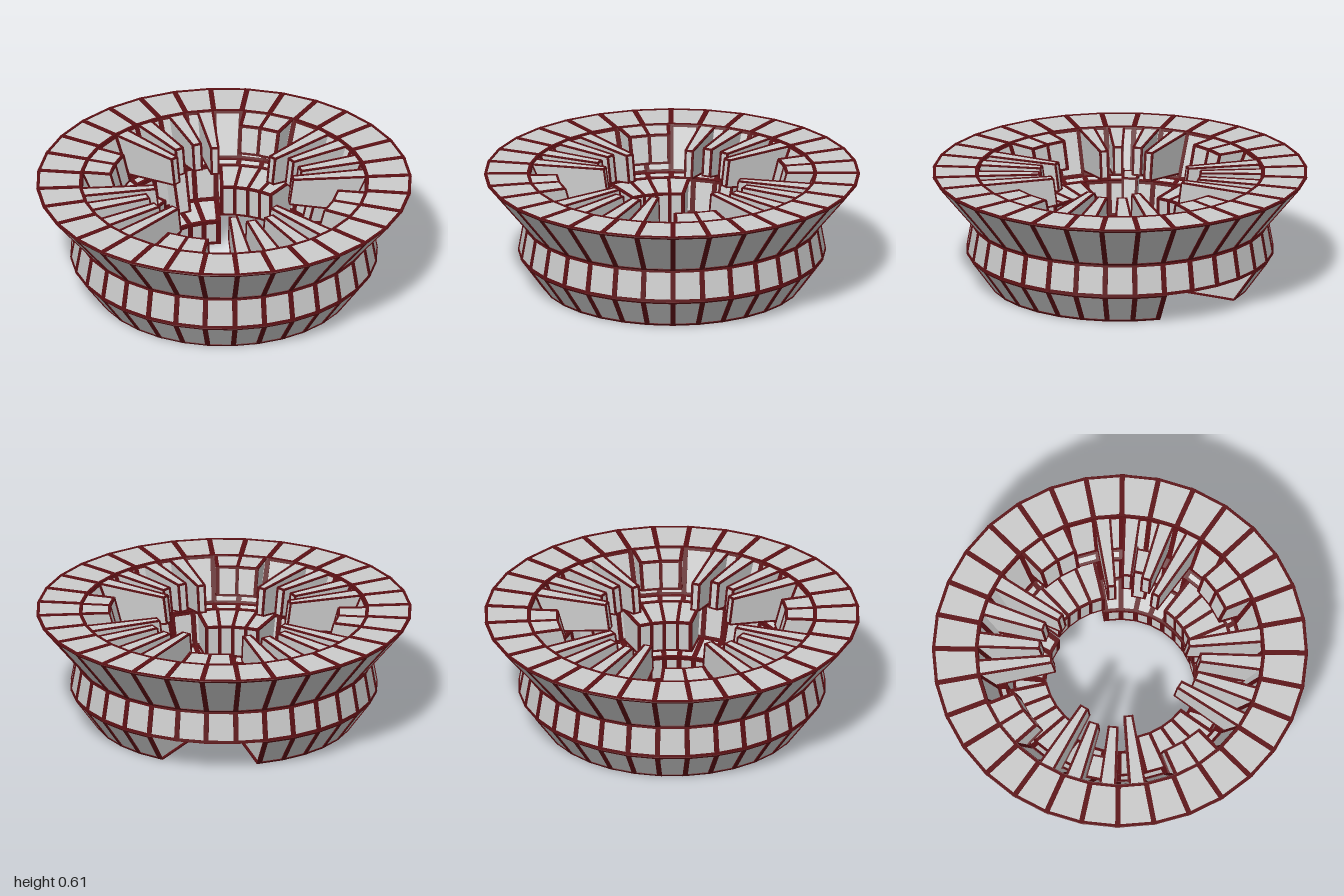
import * as THREE from 'three';
import { mergeGeometries } from 'three/addons/utils/BufferGeometryUtils.js';

const SEG = Math.PI / 16; // one of 32 facets
const RAD = Math.PI / 180;
const grey = new THREE.MeshStandardMaterial({ color: 0xcccccc, flatShading: true, side: THREE.DoubleSide });
const red = new THREE.MeshStandardMaterial({ color: 0x5c1014, flatShading: true });

// point at radius r, height y and angle a (from +z towards +x)
const polar = ([r, y], a) => new THREE.Vector3(r * Math.sin(a), y, r * Math.cos(a));

// thin band from p to q, lying across the given side direction
function band(p, q, side, width) {
  const along = q.clone().sub(p);
  const length = along.length();
  along.normalize();
  const normal = along.clone().cross(side).normalize();
  const across = normal.clone().cross(along);
  const m = new THREE.Matrix4().makeBasis(along, across, normal);
  m.setPosition(p.clone().add(q).multiplyScalar(0.5));
  return new THREE.BoxGeometry(length, width, 0.008).applyMatrix4(m);
}

// faceted sector of a closed profile, with end caps and red edge bands
function sector(name, profile, start, count, step = SEG, width = 0.027) {
  const group = new THREE.Group();
  group.name = name;
  const pts = profile.map(([r, y]) => new THREE.Vector2(r, y));
  const parts = [new THREE.LatheGeometry([...pts, pts[0].clone()], count, start, count * step)];
  const whole = count * step > 2 * Math.PI - 0.01;
  if (!whole) {
    for (const a of [start, start + count * step]) {
      parts.push(new THREE.ShapeGeometry(new THREE.Shape(pts)).rotateY(a - Math.PI / 2));
    }
  }
  const body = new THREE.Mesh(mergeGeometries(parts), grey);
  body.name = name + 'Body';

  const bands = [];
  const n = profile.length;
  for (let k = 0; k <= count; k++) {
    if (whole && k === count) break;
    const a = start + k * step;
    const tangent = new THREE.Vector3(Math.cos(a), 0, -Math.sin(a));
    for (let i = 0; i < n; i++) {
      const p = profile[i], q = profile[(i + 1) % n];
      // bands running up the profile
      bands.push(band(polar(p, a), polar(q, a), tangent, width));
      // bands running round the ring, split over both faces of the edge
      if (k === count) continue;
      const mid = a + step / 2;
      const before = profile[(i + n - 1) % n];
      for (const other of [before, q]) {
        const dir = polar(other, mid).sub(polar(p, mid)).normalize();
        const shift = dir.clone().multiplyScalar(width / 4);
        bands.push(band(polar(p, a).add(shift), polar(p, a + step).add(shift), dir, width / 2));
      }
    }
  }
  const trim = new THREE.Mesh(mergeGeometries(bands), red);
  trim.name = name + 'Trim';
  group.add(body, trim);
  return group;
}

export function createModel() {
  const model = new THREE.Group();
  model.name = 'tieredRing';

  // flared upper ring with waist band and sloping inner wall
  model.add(sector('upperRing', [
    [0.57, 0.18], [0.815, 0.18], [0.785, 0.35], [0.997, 0.611],
    [0.76, 0.611], [0.66, 0.38], [0.61, 0.36],
  ], 0, 32));

  // tapered base ring, open at the back
  model.add(sector('baseRing', [
    [0.4, 0.005], [0.69, 0.005], [0.815, 0.18], [0.57, 0.18], [0.4, 0.14],
  ], Math.PI + 2 * SEG, 28));

  for (let i = 0; i < 4; i++) {
    const a = i * Math.PI / 2;

    // low platform and high box on each axis
    model.add(sector('platform', [
      [0.4, 0.18], [0.62, 0.18], [0.62, 0.36], [0.4, 0.35],
    ], a - 20 * RAD, 4, 10 * RAD, 0.018));
    model.add(sector('highBox', [
      [0.57, 0.46], [0.7, 0.42], [0.77, 0.608], [0.61, 0.608],
    ], a - 10 * RAD, 2, 10 * RAD, 0.018));

    // small stepped block on each diagonal
    model.add(sector('diagonalStep', [
      [0.47, 0.18], [0.66, 0.18], [0.66, 0.4], [0.53, 0.4],
    ], a + 41 * RAD, 1, 8 * RAD, 0.014));

    // radial fins, mirrored about the diagonal
    for (const side of [-1, 1]) {
      for (const [centre, inner] of [[26, 0.35], [38, 0.41]]) {
        const at = a + (45 + side * (45 - centre)) * RAD;
        model.add(sector('fin', [
          [inner, 0.46], [0.7, 0.4], [0.77, 0.607], [inner + 0.02, 0.607],
        ], at - 3 * RAD, 1, 6 * RAD, 0.012));
      }
    }
  }
  return model;
}
